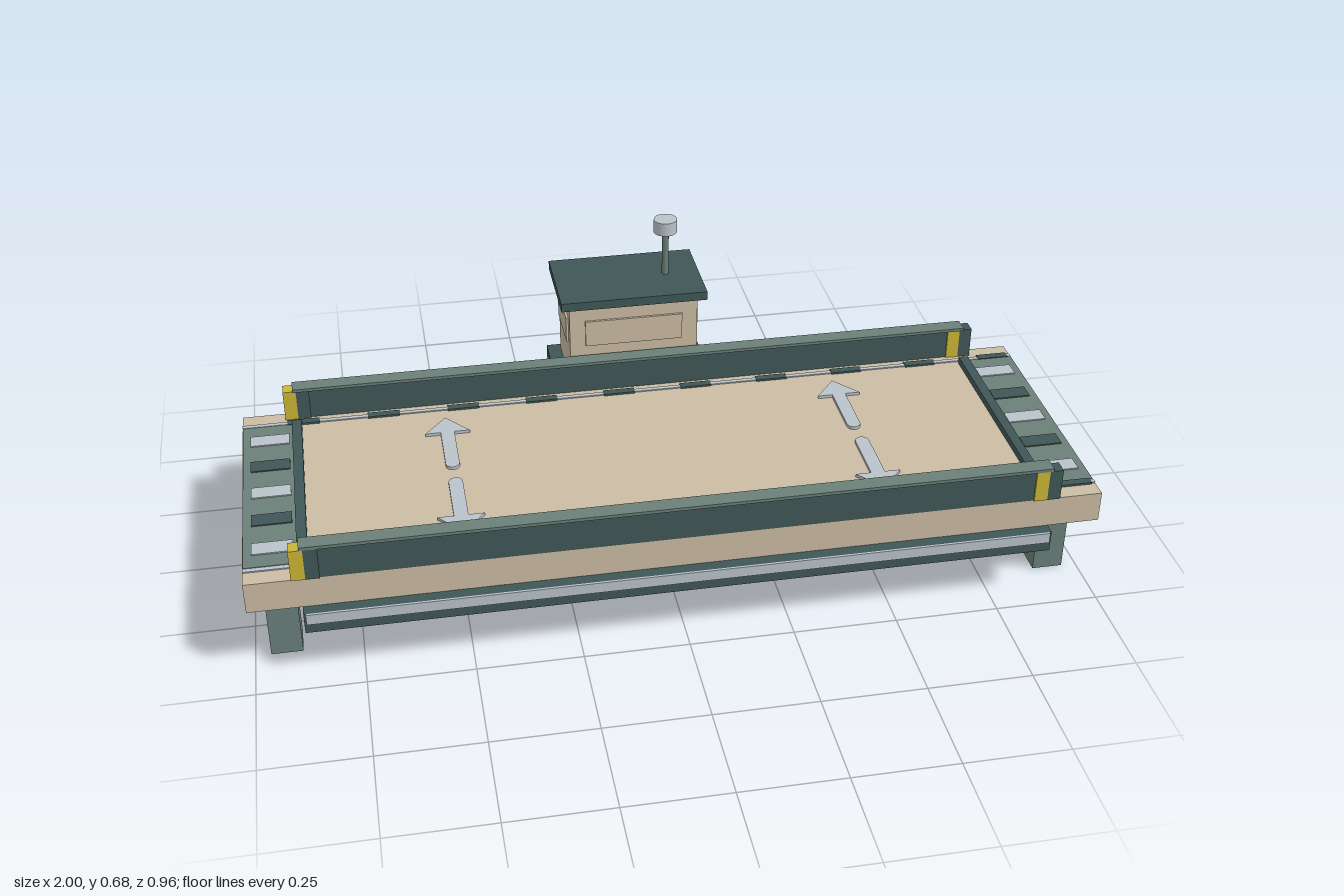
import * as THREE from 'three';

const mat = (name, color) => {
  const m = new THREE.MeshStandardMaterial({ color });
  m.name = name;
  return m;
};

export function createModel() {
  const tan = mat('tan', 0xcbbca4);
  const dark = mat('dark teal', 0x405757);
  const grey = mat('grey green', 0x6b7f79);
  const pale = mat('pale grey', 0xbac3ca);
  const yellow = mat('yellow', 0xcbb535);

  const model = new THREE.Group();
  const ZC = 0.1; // centre line of the deck
  const add = (name, geo, material, x = 0, y = 0, z = 0) => {
    const mesh = new THREE.Mesh(geo, material);
    mesh.name = name;
    mesh.position.set(x, y, z);
    model.add(mesh);
    return mesh;
  };
  // box given by its limits on each axis
  const box = (name, material, x0, x1, y0, y1, z0, z1) =>
    add(name, new THREE.BoxGeometry(x1 - x0, y1 - y0, z1 - z0), material,
      (x0 + x1) / 2, (y0 + y1) / 2, (z0 + z1) / 2);
  // box given by centre and size in plan, limits in height
  const slab = (name, material, x, z, w, d, y0, y1) =>
    box(name, material, x - w / 2, x + w / 2, y0, y1, z - d / 2, z + d / 2);

  // deck and stepped underside
  slab('deck', tan, 0, ZC, 2, 0.7, 0.195, 0.272);
  slab('upperHull', dark, 0, ZC, 1.75, 0.75, 0.14, 0.193);
  slab('middleHull', dark, 0, ZC, 1.67, 0.6, 0.09, 0.14);
  slab('lowerHull', dark, 0, ZC, 1.6, 0.45, 0.043, 0.09);
  slab('keel', grey, 0, ZC, 1.65, 0.15, 0.012, 0.043);

  for (const s of [-1, 1]) {
    // side strips along the hull
    slab('hullStripe', pale, 0, ZC + s * 0.3775, 1.74, 0.006, 0.166, 0.193);
    slab('sideRail', tan, 0, ZC + s * 0.326, 1.63, 0.007, 0.11, 0.124);

    // long side walls with a cap and two-tone end markers
    slab('sideWall', dark, 0, ZC + s * 0.337, 1.73, 0.026, 0.272, 0.352);
    slab('wallCap', grey, 0, ZC + s * 0.335, 1.74, 0.04, 0.352, 0.36);
    for (const e of [-1, 1]) {
      const x = e * 0.862;
      slab('yellowMarker', yellow, x - 0.016, ZC + s * 0.337, 0.032, 0.034, 0.272, 0.352);
      slab('darkMarker', dark, x + 0.016, ZC + s * 0.337, 0.032, 0.034, 0.272, 0.352);
    }

    // edge line with dashes
    slab('edgeLine', pale, 0, ZC + s * 0.3, 2, 0.012, 0.272, 0.275);
    for (let i = 0; i < 10; i++)
      slab('edgeDash', dark, -0.85 + i * 0.2, ZC + s * 0.3, 0.08, 0.02, 0.272, 0.277);

    // end ramps with crosswise stripes
    slab('endRamp', grey, s * 0.939, ZC, 0.12, 0.584, 0.272, 0.275);
    for (let i = -2; i <= 2; i++)
      slab('rampStripe', i % 2 ? dark : pale, s * 0.933, ZC + i * 0.1125, 0.094, 0.043, 0.275, 0.278);
    slab('endBar', dark, s * 0.866, ZC, 0.024, 0.575, 0.272, 0.29);

    // legs
    for (const e of [-1, 1])
      slab('leg', grey, s * 0.927, ZC + e * 0.225, 0.074, 0.074, 0, 0.195);
  }

  // direction arrows with a rounded tail
  const arrow = new THREE.Shape();
  arrow.moveTo(0.017, 0.04);
  arrow.lineTo(0.017, 0.18);
  arrow.lineTo(0.055, 0.18);
  arrow.lineTo(0, 0.248);
  arrow.lineTo(-0.055, 0.18);
  arrow.lineTo(-0.017, 0.18);
  arrow.lineTo(-0.017, 0.04);
  arrow.absarc(0, 0.04, 0.017, Math.PI, Math.PI * 2, false);
  const arrowGeo = new THREE.ExtrudeGeometry(arrow, { depth: 0.008, bevelEnabled: false, curveSegments: 8 });
  arrowGeo.rotateX(-Math.PI / 2);
  for (const x of [-0.5, 0.5])
    for (const turn of [0, Math.PI])
      add('directionArrow', arrowGeo, pale, x, 0.272, ZC).rotation.y = turn;

  // control cabin on a bracket behind the deck
  const CZ = -0.361;
  box('cabinBase', dark, -0.2, 0.2, 0.172, 0.271, -0.475, -0.25);
  slab('cabin', tan, 0, CZ, 0.33, 0.2, 0.271, 0.498);
  slab('cabinRoof', dark, 0, CZ, 0.374, 0.238, 0.498, 0.521);
  for (const s of [-1, 1]) {
    slab('sideWindow', tan, s * 0.167, CZ, 0.008, 0.148, 0.386, 0.456);
    slab('endWindow', tan, 0, CZ + s * 0.102, 0.25, 0.008, 0.386, 0.456);
    // round drums half sunk in the base
    const drum = new THREE.CylinderGeometry(0.065, 0.065, 0.075, 16);
    drum.rotateX(Math.PI / 2);
    add('drum', drum, grey, s * 0.125, 0.165, -0.4125);
  }

  // mast and lamp
  add('mast', new THREE.CylinderGeometry(0.009, 0.009, 0.12, 12), grey, 0.1, 0.581, CZ);
  add('lamp', new THREE.CylinderGeometry(0.03, 0.03, 0.035, 16), pale, 0.1, 0.658, CZ);

  return model;
}
